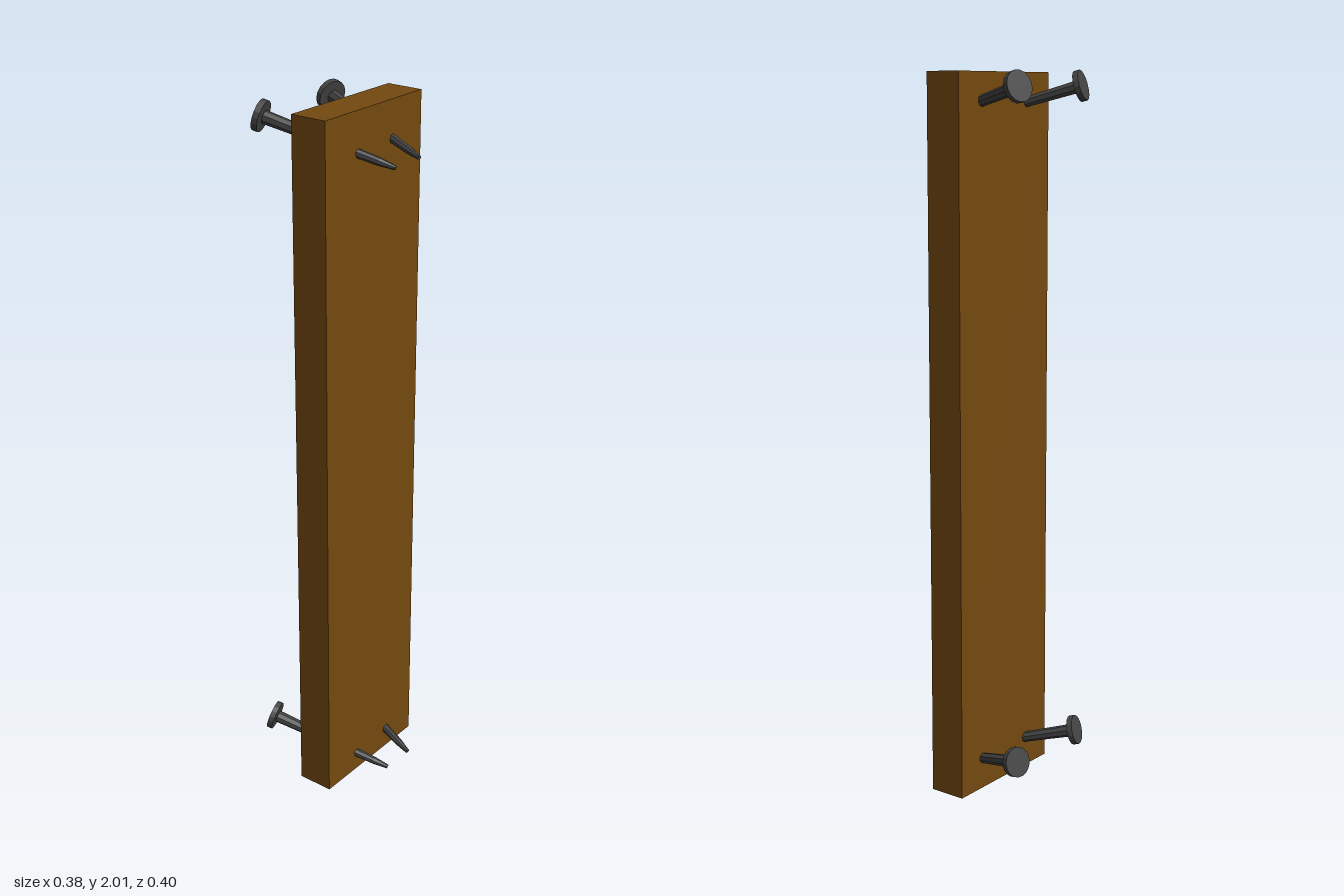
import * as THREE from 'three';

const wood = new THREE.MeshStandardMaterial({ color: 0x74490f });
const iron = new THREE.MeshStandardMaterial({ color: 0x444444, flatShading: true });

// A nail running from the centre of its head to its tip
function makeNail(name, head, tip) {
  const axis = head.clone().sub(tip);
  const length = axis.length();
  const nail = new THREE.Group();
  nail.name = name;

  // Tapered shank, narrowing to a blunt point
  const profile = [[0, 0], [0.006, 0], [0.011, length * 0.12], [0.018, length - 0.01]]
    .map(([r, y]) => new THREE.Vector2(r, y));
  const shank = new THREE.Mesh(new THREE.LatheGeometry(profile, 8), iron);
  shank.name = 'nailShank';

  // Flat round head
  const cap = new THREE.Mesh(new THREE.CylinderGeometry(0.042, 0.042, 0.016, 16), iron);
  cap.name = 'nailHead';
  cap.position.y = length;

  nail.add(shank, cap);
  nail.position.copy(tip);
  nail.quaternion.setFromUnitVectors(new THREE.Vector3(0, 1, 0), axis.normalize());
  return nail;
}

export function createModel() {
  const model = new THREE.Group();
  model.name = 'nailedPlank';

  // Plank
  const plank = new THREE.Mesh(new THREE.BoxGeometry(0.106, 2, 0.398), wood);
  plank.name = 'plank';
  plank.position.set(0.029, 1, 0);
  model.add(plank);

  // A pair of converging nails at each end
  for (const [end, y] of [['lower', 0], ['upper', 1.834]]) {
    model.add(
      makeNail(end + 'FrontNail', new THREE.Vector3(-0.167, y + 0.129, 0.147), new THREE.Vector3(0.175, y + 0.029, 0.036)),
      makeNail(end + 'BackNail', new THREE.Vector3(-0.167, y + 0.126, -0.137), new THREE.Vector3(0.184, y + 0.037, -0.052))
    );
  }
  return model;
}
